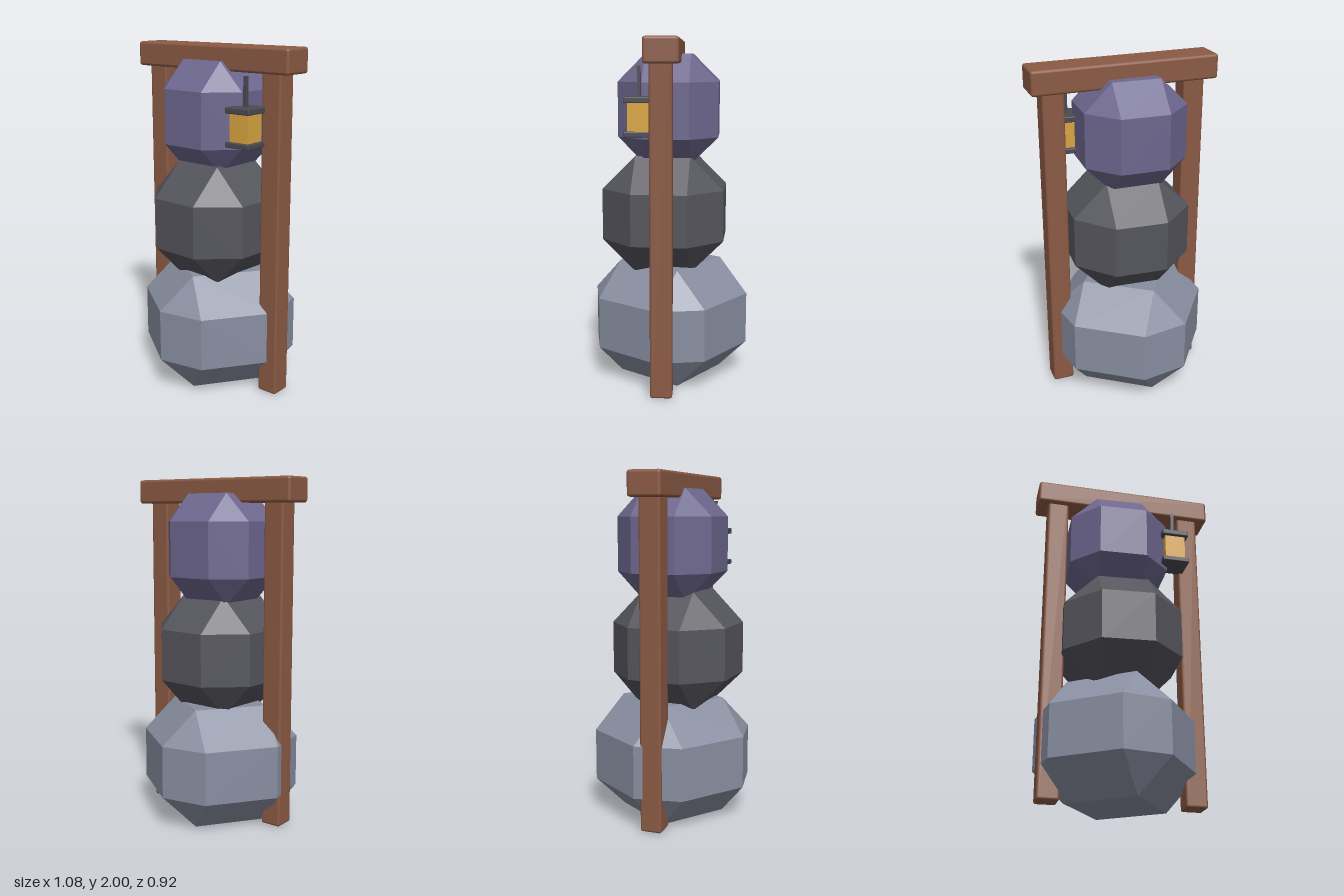
import * as THREE from 'three';
import { RoundedBoxGeometry } from 'three/addons/geometries/RoundedBoxGeometry.js';
import { ConvexGeometry } from 'three/addons/geometries/ConvexGeometry.js';

const material = (name, color, flatShading = false) => {
  const m = new THREE.MeshStandardMaterial({ color, flatShading });
  m.name = name;
  return m;
};

// Box with half sizes h whose edges and corners are cut back by d
function chamferedBlock(h, d) {
  const points = [];
  for (const sx of [-1, 1]) for (const sy of [-1, 1]) for (const sz of [-1, 1]) {
    const signs = [sx, sy, sz];
    for (let axis = 0; axis < 3; axis++) {
      const p = signs.map((s, i) => s * (i === axis ? h[i] : h[i] - d));
      points.push(new THREE.Vector3(...p));
    }
  }
  return new ConvexGeometry(points);
}

export function createModel() {
  const wood = material('wood', 0x8b5a44);
  const metal = material('dark metal', 0x4a4a52);
  const glow = material('lantern glow', 0xd9a441);
  const paleStone = material('pale stone', 0x888ea0, true);
  const darkStone = material('dark stone', 0x55555d, true);
  const violetStone = material('violet stone', 0x6d678e, true);

  const model = new THREE.Group();
  model.name = 'stackedStoneShrine';

  const add = (parent, name, geometry, mat, x, y, z) => {
    const mesh = new THREE.Mesh(geometry, mat);
    mesh.name = name;
    mesh.position.set(x, y, z);
    parent.add(mesh);
    return mesh;
  };

  // Stacked boulders, each turned a little
  const boulders = [
    ['bottomBoulder', paleStone, [0.41, 0.3475, 0.41], 0.196, [-0.025, 0.3475, -0.0025], 0.165 + Math.PI / 4],
    ['middleBoulder', darkStone, [0.345, 0.343, 0.353], 0.194, [-0.014, 0.992, 0.0275], -0.067],
    ['topBoulder', violetStone, [0.297, 0.314, 0.288], 0.157, [-0.033, 1.6, 0.002], -0.04],
  ];
  for (const [name, mat, half, cut, pos, turn] of boulders) {
    add(model, name, chamferedBlock(half, cut), mat, ...pos).rotation.y = turn;
  }

  // Timber frame
  for (const [name, side] of [['leftPost', 1], ['rightPost', -1]]) {
    add(model, name, new RoundedBoxGeometry(0.125, 1.9, 0.125, 2, 0.014), wood, side * 0.412, 0.955, 0.03);
  }
  add(model, 'crossbeam', new RoundedBoxGeometry(1.08, 0.14, 0.192, 2, 0.016), wood, 0, 1.93, 0.025);

  // Hanging lantern
  const lantern = new THREE.Group();
  lantern.name = 'lantern';
  lantern.position.set(0.294, 0, 0.157);
  model.add(lantern);
  add(lantern, 'lanternRod', new THREE.BoxGeometry(0.02, 0.17, 0.02), metal, 0, 1.763, 0);
  add(lantern, 'lanternCap', new RoundedBoxGeometry(0.162, 0.034, 0.162, 2, 0.006), metal, 0, 1.667, 0);
  add(lantern, 'lanternGlass', new THREE.BoxGeometry(0.122, 0.17, 0.122), glow, 0, 1.573, 0);
  add(lantern, 'lanternBase', new RoundedBoxGeometry(0.162, 0.03, 0.162, 2, 0.006), metal, 0, 1.48, 0);

  return model;
}
